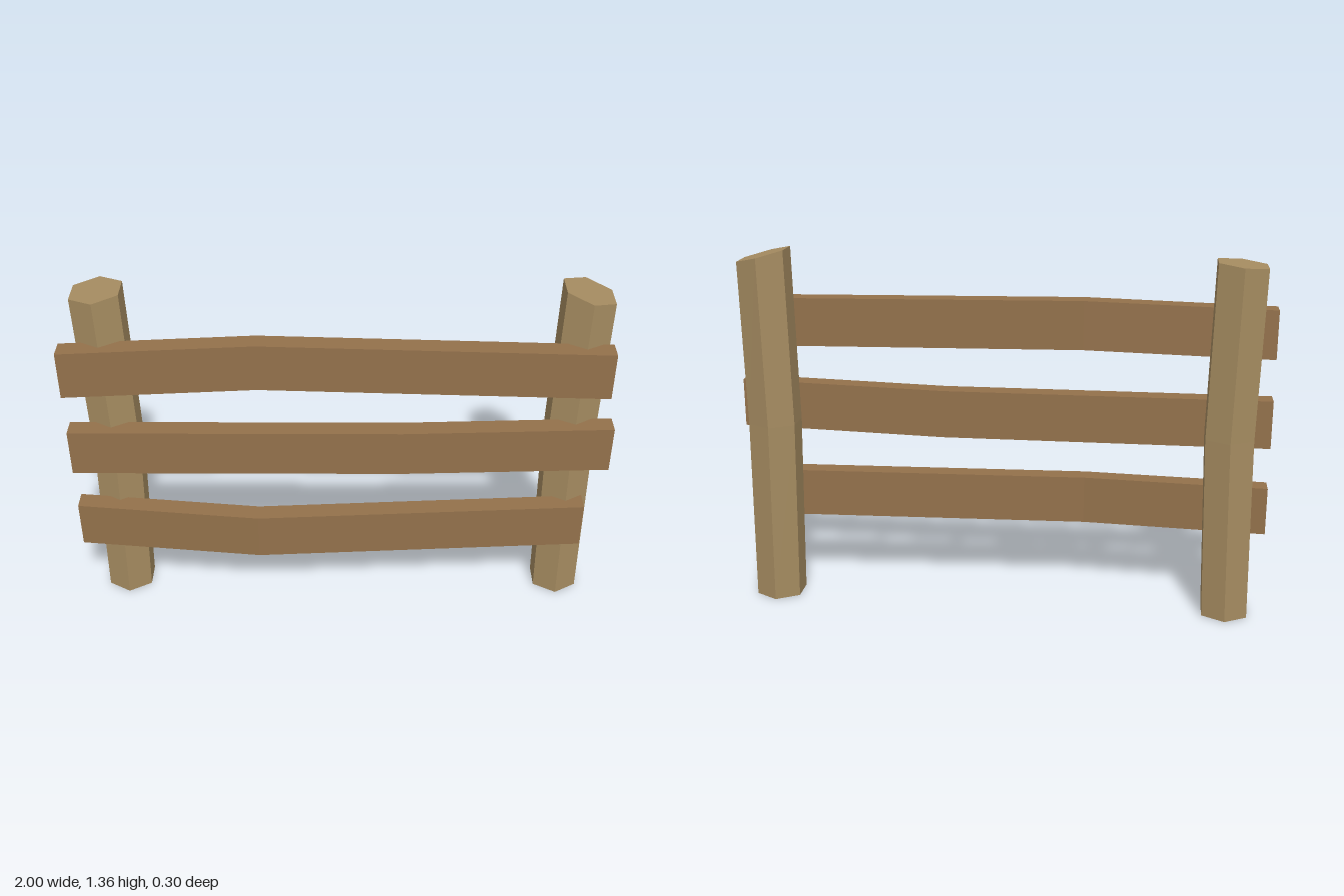
import * as THREE from 'three';

const postMaterial = new THREE.MeshStandardMaterial({ color: 0xa68c61, flatShading: true, side: THREE.DoubleSide });
const railMaterial = new THREE.MeshStandardMaterial({ color: 0x93714b, flatShading: true });

// Hexagonal post, open underneath, with a kink at mid height and a sloped top
function makePost(name, { x, midShift, topShift, midY, topY, slope }) {
  const geometry = new THREE.CylinderGeometry(0.1, 0.1, 2, 6, 2, true);
  const cap = new THREE.CircleGeometry(0.1, 6, Math.PI / 2).rotateX(-Math.PI / 2).translate(0, 1, 0);
  const group = new THREE.Group();
  group.name = name;
  for (const [part, geo] of [['postSides', geometry], ['postTop', cap]]) {
    const p = geo.attributes.position;
    for (let i = 0; i < p.count; i++) {
      const px = p.getX(i), level = Math.round(p.getY(i)) + 1;
      const scale = level === 0 ? 0.97 : 1.01;
      const y = [0, midY, topY + slope * px][level];
      p.setXYZ(i, x + px * scale + [0, midShift, topShift][level], y, p.getZ(i) * scale - 0.05);
    }
    geo.computeVertexNormals();
    const mesh = new THREE.Mesh(geo, postMaterial);
    mesh.name = part;
    group.add(mesh);
  }
  return group;
}

// Plank swept through three stations, each [x, centre y, centre z]
function makeRail(name, stations) {
  const geometry = new THREE.BoxGeometry(2, 0.183, 0.073, 2, 1, 1);
  const p = geometry.attributes.position;
  for (let i = 0; i < p.count; i++) {
    const [x, y, z] = stations[Math.round(p.getX(i)) + 1];
    p.setXYZ(i, x, y + p.getY(i), z + p.getZ(i));
  }
  geometry.computeVertexNormals();
  const mesh = new THREE.Mesh(geometry, railMaterial);
  mesh.name = name;
  return mesh;
}

export function createModel() {
  const fence = new THREE.Group();
  fence.name = 'fence';
  fence.add(
    makePost('rightPost', { x: -0.856, midShift: 0.015, topShift: -0.001, midY: 0.7, topY: 1.338, slope: 0.1 }),
    makePost('leftPost', { x: 0.873, midShift: -0.011, topShift: 0, midY: 0.7, topY: 1.338, slope: -0.26 }),
    makeRail('topRail', [[-1, 1.068, 0.052], [-0.3, 1.09, 0.031], [0.97, 1.068, 0.052]]),
    makeRail('middleRail', [[-1, 0.728, 0.052], [0.23, 0.728, 0.052], [1, 0.75, 0.052]]),
    makeRail('bottomRail', [[-1, 0.387, 0.052], [-0.31, 0.38, 0.117], [0.93, 0.387, 0.052]])
  );
  return fence;
}
